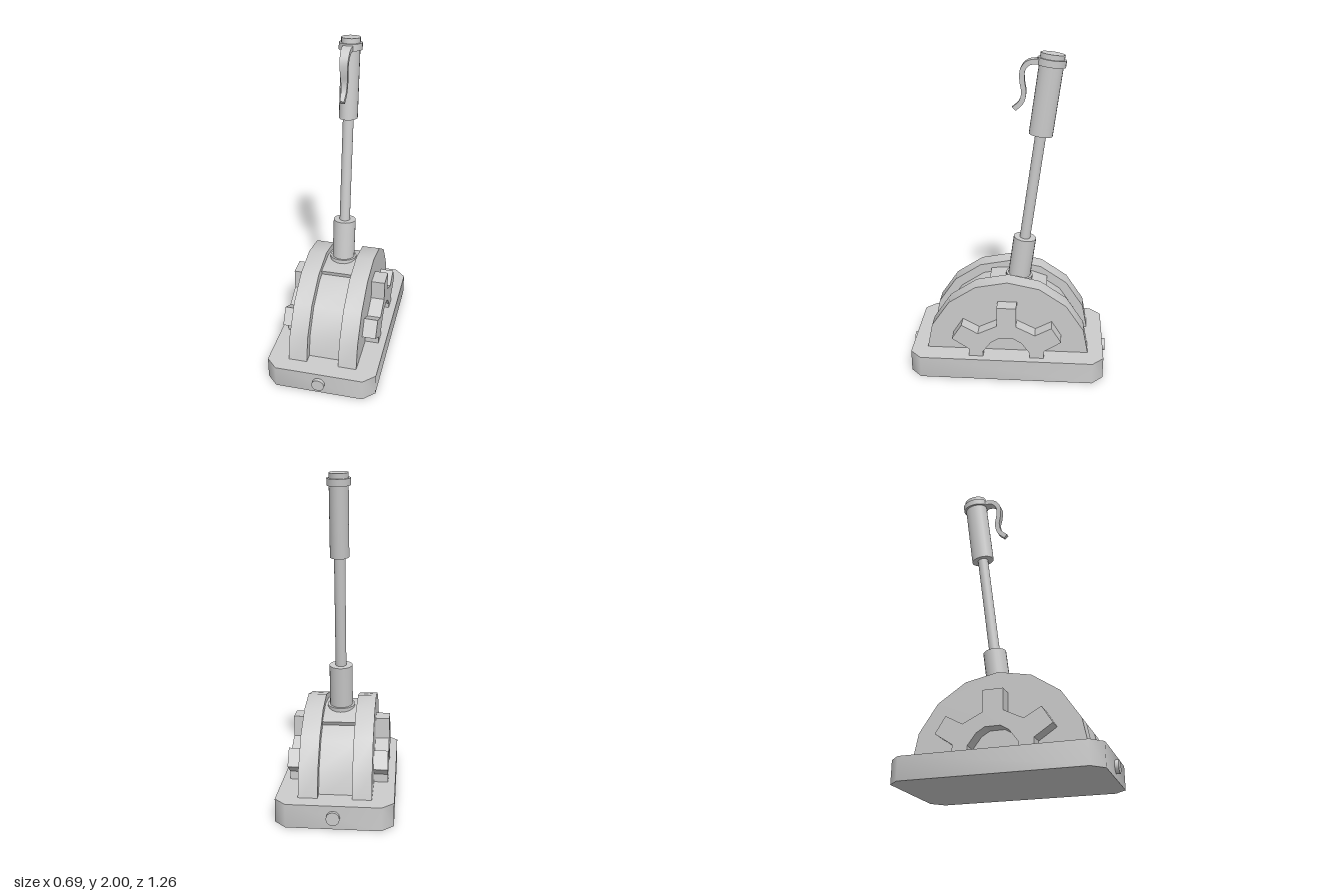
import * as THREE from 'three';
import { toCreasedNormals } from 'three/addons/utils/BufferGeometryUtils.js';

const PIVOT_Y = 0.1;
const TILT = THREE.MathUtils.degToRad(7.5);
const mat = new THREE.MeshStandardMaterial({ color: 0xcccccc });

function add(parent, name, geometry) {
  const mesh = new THREE.Mesh(geometry, mat);
  mesh.name = name;
  parent.add(mesh);
  return mesh;
}

// Extrudes a [z, y] outline along x, from x0 to x0 + width
function sideExtrude(points, x0, width, crease = 0.5) {
  const shape = new THREE.Shape(points.map(([z, y]) => new THREE.Vector2(z, y)));
  const geo = new THREE.ExtrudeGeometry(shape, { depth: width, bevelEnabled: false });
  geo.rotateY(-Math.PI / 2).translate(x0 + width, 0, 0);
  return toCreasedNormals(geo, crease);
}

// Points of an arc around the pivot; angles in degrees from up towards +z
function arc(radius, from, to, steps) {
  return Array.from({ length: steps + 1 }, (_, i) => {
    const a = THREE.MathUtils.degToRad(from + ((to - from) * i) / steps);
    return [radius * Math.sin(a), PIVOT_Y + radius * Math.cos(a)];
  });
}

// Tapered flat strip with rectangular cross-sections along a curve in the yz plane
function strip(points, thickness, widthStart, widthEnd, steps) {
  const curve = new THREE.CatmullRomCurve3(points.map(([z, y]) => new THREE.Vector3(0, y, z)));
  const pos = [];
  const index = [];
  for (let i = 0; i <= steps; i++) {
    const p = curve.getPoint(i / steps);
    const t = curve.getTangent(i / steps);
    const hw = THREE.MathUtils.lerp(widthStart, widthEnd, i / steps) / 2;
    const ht = thickness / 2;
    for (const [sx, sn] of [[-1, -1], [1, -1], [1, 1], [-1, 1]]) {
      pos.push(sx * hw, p.y + sn * ht * t.z, p.z - sn * ht * t.y);
    }
    if (i === steps) break;
    for (let k = 0; k < 4; k++) {
      const a = i * 4 + k, b = i * 4 + ((k + 1) % 4);
      index.push(a, b, b + 4, a, b + 4, a + 4);
    }
  }
  const e = steps * 4;
  index.push(0, 2, 1, 0, 3, 2, e, e + 1, e + 2, e, e + 2, e + 3);
  const geo = new THREE.BufferGeometry();
  geo.setAttribute('position', new THREE.Float32BufferAttribute(pos, 3));
  geo.setIndex(index);
  return toCreasedNormals(geo, 0.7);
}

export function createModel() {
  const model = new THREE.Group();
  model.name = 'floorLever';

  // Base plate with chamfered corners
  const bx = 0.345, bz = 0.61, c = 0.07;
  const outline = [[bx, bz - c], [bx - c, bz], [c - bx, bz], [-bx, bz - c],
    [-bx, c - bz], [c - bx, -bz], [bx - c, -bz], [bx, c - bz]];
  const baseGeo = new THREE.ExtrudeGeometry(
    new THREE.Shape(outline.map((p) => new THREE.Vector2(...p))),
    { depth: 0.14, bevelEnabled: false });
  baseGeo.rotateX(-Math.PI / 2);
  add(model, 'base', toCreasedNormals(baseGeo, 0.9));

  // Round studs on both ends of the base
  for (const s of [1, -1]) {
    const stud = add(model, s > 0 ? 'frontStud' : 'backStud',
      new THREE.CylinderGeometry(0.04, 0.04, 0.06, 12).rotateX(Math.PI / 2));
    stud.position.set(0, 0.07, s * 0.602);
  }

  // Central drum between two larger side discs
  add(model, 'drum', sideExtrude(arc(0.46, 90, -90, 8), -0.11, 0.22));
  for (const s of [1, -1]) {
    add(model, s > 0 ? 'leftDisc' : 'rightDisc',
      sideExtrude(arc(0.52, 90, -90, 8), s * 0.1575 - 0.0575, 0.115));
  }

  // Half gears with an arched hub on the outer faces
  const half = [[0.06, 0.488], [0.06, 0.36], [0.178, 0.302], [0.28, 0.358], [0.342, 0.26],
    [0.236, 0.19], [0.236, 0.12], [0.146, 0.12], [0.146, 0.175], [0.095, 0.243], [0.045, 0.273]];
  const gear = [...half, ...half.map(([z, y]) => [-z, y]).reverse()];
  for (const s of [1, -1]) {
    add(model, s > 0 ? 'leftGear' : 'rightGear', sideExtrude(gear, s * 0.255 - 0.046, 0.092, 0.4));
  }

  // Curved sliding plate under the lever
  add(model, 'slidePlate', sideExtrude(
    [...arc(0.48, 15, -30, 2), ...arc(0.44, -30, 15, 2)], -0.1, 0.2));

  // Lever leaning back around the drum axis
  const lever = new THREE.Group();
  lever.name = 'lever';
  lever.position.y = PIVOT_Y;
  lever.rotation.x = -TILT;
  model.add(lever);
  // name, radius across x, radius along z, start and end along the lever
  const stages = [
    ['collar', 0.085, 0.085, 0.45, 0.488],
    ['sleeve', 0.071, 0.071, 0.45, 0.745],
    ['rod', 0.033, 0.033, 0.7, 1.45],
    ['grip', 0.057, 0.072, 1.42, 1.906],
    ['gripRing', 0.07, 0.085, 1.835, 1.876],
  ];
  for (const [name, rx, rz, from, to] of stages) {
    const part = add(lever, name, new THREE.CylinderGeometry(1, 1, to - from, 20).scale(rx, 1, rz));
    part.position.y = (from + to) / 2;
  }

  // Curved release handle in front of the grip
  add(model, 'releaseHandle', strip(
    [[-0.18, 1.947], [-0.11, 1.938], [-0.075, 1.895], [-0.073, 1.83],
      [-0.083, 1.765], [-0.068, 1.705], [-0.025, 1.664]], 0.03, 0.062, 0.026, 20));

  return model;
}
